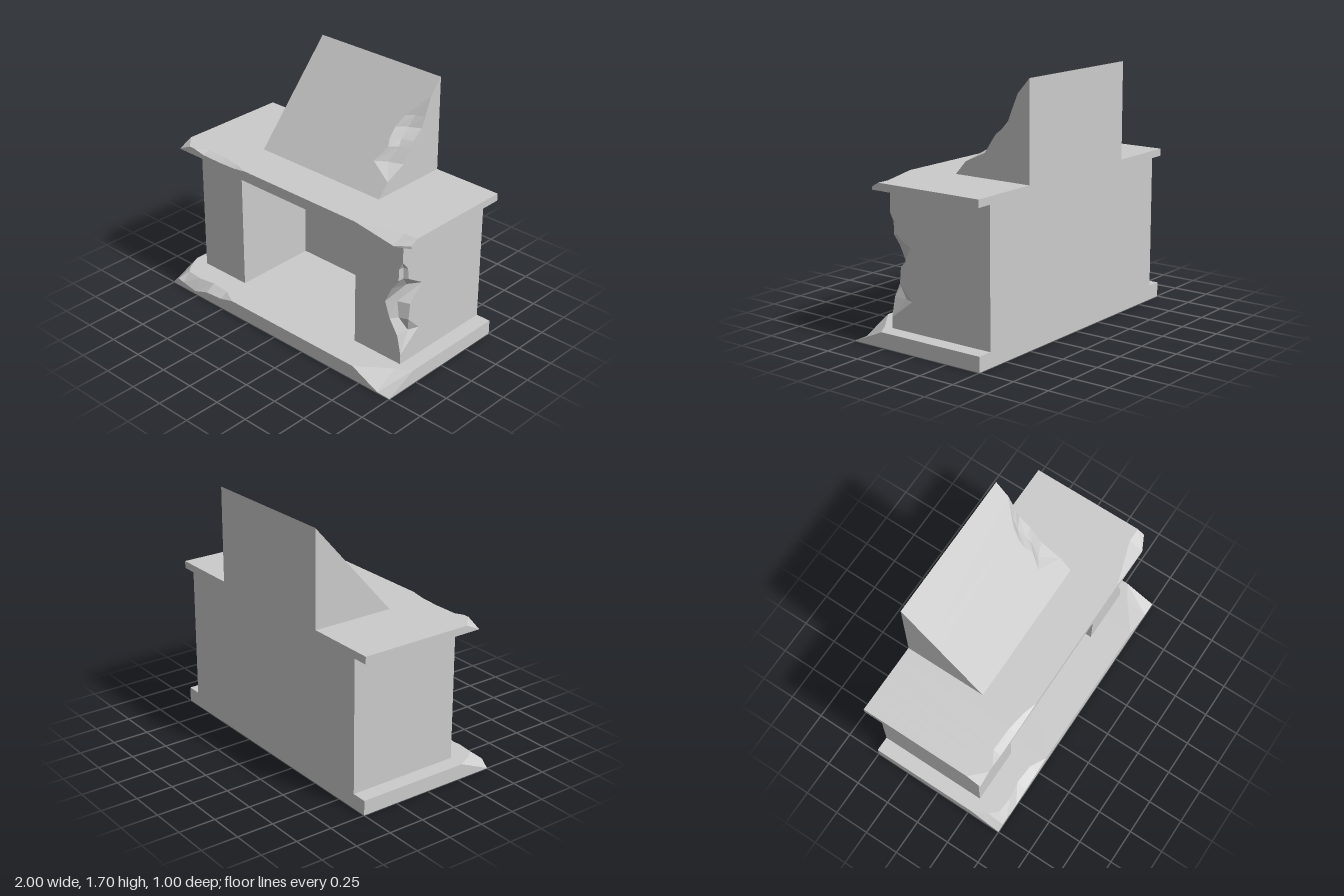
import * as THREE from 'three';

const material = new THREE.MeshStandardMaterial({ color: 0xcccccc, flatShading: true });
const BACK = -0.5;

// Skin a row of equal-length cross-sections and cap both ends.
function loft(name, sections) {
  const pos = [];
  const tri = (a, b, c) => pos.push(...a, ...b, ...c);
  const n = sections[0].length;
  for (let i = 0; i < sections.length - 1; i++) {
    const a = sections[i], b = sections[i + 1];
    for (let j = 0; j < n; j++) {
      const k = (j + 1) % n;
      tri(a[j], b[j], b[k]);
      tri(a[j], b[k], a[k]);
    }
  }
  const first = sections[0], last = sections[sections.length - 1];
  for (let j = 1; j < n - 1; j++) {
    tri(first[0], first[j], first[j + 1]);
    tri(last[0], last[j + 1], last[j]);
  }
  // Turn the faces outward if the enclosed volume comes out negative.
  let volume = 0;
  const v = [0, 1, 2].map(() => new THREE.Vector3());
  for (let i = 0; i < pos.length; i += 9) {
    v.forEach((p, k) => p.fromArray(pos, i + k * 3));
    volume += v[0].dot(v[1].clone().cross(v[2]));
  }
  if (volume < 0) {
    for (let i = 0; i < pos.length; i += 9) {
      for (let k = 0; k < 3; k++) {
        [pos[i + 3 + k], pos[i + 6 + k]] = [pos[i + 6 + k], pos[i + 3 + k]];
      }
    }
  }
  const geometry = new THREE.BufferGeometry();
  geometry.setAttribute('position', new THREE.Float32BufferAttribute(pos, 3));
  geometry.computeVertexNormals();
  const mesh = new THREE.Mesh(geometry, material);
  mesh.name = name;
  return mesh;
}

function block(name, x0, x1, y0, y1, z0, z1) {
  const geometry = new THREE.BoxGeometry(x1 - x0, y1 - y0, z1 - z0);
  geometry.translate((x0 + x1) / 2, (y0 + y1) / 2, (z0 + z1) / 2);
  const mesh = new THREE.Mesh(geometry, material);
  mesh.name = name;
  return mesh;
}

// Slab with a broken front top edge; rows: x, height of front face, z of top edge, z of front.
function chippedSlab(name, y0, y1, rows) {
  return loft(name, rows.map(([x, yFront, zTop, zFront]) => [
    [x, y0, BACK], [x, y0, zFront], [x, yFront, zFront], [x, y1, zTop], [x, y1, BACK],
  ]));
}

// Upright with a broken front corner; rows: y, x of cut on the front, z of cut on the side.
function chippedUpright(name, x0, x1, frontAt, rows, dent) {
  return loft(name, rows.map(([y, cutX, cutZ]) => {
    const z = frontAt(y);
    const d = cutX < x1 ? dent : 0;
    return [
      [x0, y, BACK], [x0, y, z], [cutX, y, z],
      [(cutX + x1) / 2 - d, y, (cutZ + z) / 2 - d],
      [x1, y, cutZ], [x1, y, BACK],
    ];
  }));
}

export function createModel() {
  const group = new THREE.Group();
  group.name = 'fireplace';

  // Hearth slab, broken at both front corners
  group.add(chippedSlab('hearth', 0, 0.1, [
    [-1, 0.002, 0.28, 0.5], [-0.95, 0.05, 0.38, 0.5], [-0.9, 0.04, 0.44, 0.5],
    [-0.78, 0.02, 0.45, 0.5], [-0.66, 0.06, 0.43, 0.5], [-0.52, 0.07, 0.44, 0.5],
    [-0.41, 0.1, 0.5, 0.5], [0.69, 0.1, 0.5, 0.5], [0.9, 0.004, 0.34, 0.5],
    [1, 0.002, 0.28, 0.5],
  ]));

  // Surround: piers, lintel and firebox back
  const inner = 0.51, outer = 0.895, front = 0.28, recess = -0.32;
  group.add(block('rightPier', -outer, -inner, 0.1, 1, BACK, front));
  group.add(chippedUpright('leftPier', inner, outer, () => front, [
    [0.1, outer, front], [0.17, outer, front], [0.3, 0.865, 0.11], [0.4, 0.8, 0.21],
    [0.51, 0.76, 0.2], [0.62, 0.81, 0.09], [0.7, 0.865, 0.22], [0.78, 0.865, 0.23],
    [0.84, outer, front], [1, outer, front],
  ], 0.012));
  group.add(block('lintel', -inner, inner, 0.9, 1, recess, front));
  group.add(block('fireboxBack', -inner, inner, 0.1, 1, BACK, recess));

  // Mantel shelf with worn front edge
  group.add(chippedSlab('mantelShelf', 1, 1.05, [
    [-1, 1.002, 0.28, 0.38], [-0.9, 1.05, 0.38, 0.38], [-0.86, 1.05, 0.38, 0.38],
    [-0.77, 1.032, 0.325, 0.38], [-0.6, 1.03, 0.33, 0.38], [-0.47, 1.035, 0.35, 0.38],
    [-0.37, 1.05, 0.38, 0.38], [0.59, 1.05, 0.38, 0.38], [0.9, 1.004, 0.28, 0.38],
    [1, 1.02, 0.28, 0.33],
  ]));

  // Sloping chimney hood, broken along one slanted edge
  const slope = (y) => 0.07 - 0.57 * (y - 1.05) / 0.65;
  group.add(chippedUpright('chimneyHood', -inner, inner, slope, [
    [1.05, inner, slope(1.05)], [1.14, inner, slope(1.14)], [1.21, 0.34, -0.16],
    [1.3, 0.39, -0.22], [1.34, 0.37, -0.25], [1.4, 0.37, -0.33],
    [1.47, 0.4, -0.357], [1.6, inner, slope(1.6)], [1.7, inner, slope(1.7)],
  ], 0.008));

  return group;
}
